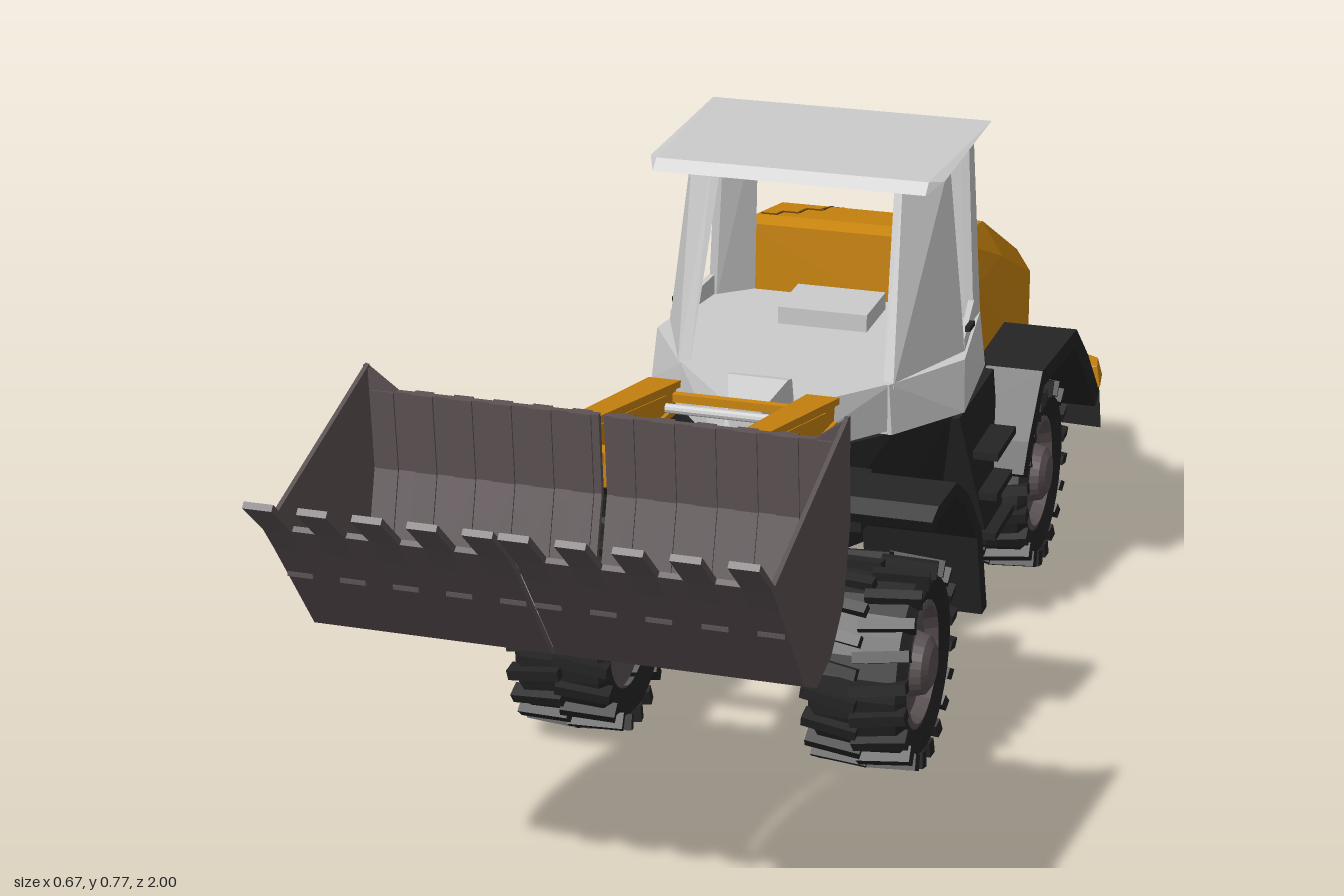
import * as THREE from 'three';
import { mergeGeometries } from 'three/addons/utils/BufferGeometryUtils.js';
import { ConvexGeometry } from 'three/addons/geometries/ConvexGeometry.js';

const mat = (color) => new THREE.MeshStandardMaterial({ color, flatShading: true, side: THREE.DoubleSide });
const yellow = mat(0xcc860f), darkYellow = mat(0x6b4508), black = mat(0x242424);
const steel = mat(0x5c5254), grey = mat(0xcccccc);

function add(parent, name, geometry, material) {
  const m = new THREE.Mesh(geometry, material);
  m.name = name;
  parent.add(m);
}

// Side profile of [z, y] points, extruded from x0 to x1
function slab(profile, x0, x1) {
  const shape = new THREE.Shape(profile.map(([z, y]) => new THREE.Vector2(z, y)));
  return new THREE.ExtrudeGeometry(shape, { depth: x1 - x0, bevelEnabled: false })
    .rotateY(-Math.PI / 2).translate(x1, 0, 0);
}

// Closed strip of thickness t on the left of an open [z, y] line
function strip(line, t) {
  const inner = line.map((p, i) => {
    const a = line[Math.max(i - 1, 0)], b = line[Math.min(i + 1, line.length - 1)];
    const dz = b[0] - a[0], dy = b[1] - a[1], l = Math.hypot(dz, dy);
    return [p[0] - (dy / l) * t, p[1] + (dz / l) * t];
  });
  return [...line, ...inner.reverse()];
}

// Moves every x by a rule of x and z
function bendX(geo, rule) {
  const p = geo.attributes.position;
  for (let i = 0; i < p.count; i++) p.setX(i, rule(p.getX(i), p.getZ(i)));
  return geo;
}

const hull = (pts) => new ConvexGeometry(pts.map((p) => new THREE.Vector3(...p)));
const flip = (s, pts) => pts.map(([x, y, z]) => [s * x, y, z]);
// Hull of points given for one side and mirrored to the other
const symHull = (pts) => hull([...pts, ...flip(-1, pts)]);
const box = (w, h, d, x, y, z) => new THREE.BoxGeometry(w, h, d).translate(x, y, z);
const span = (s, a, b) => (s > 0 ? [a, b] : [-b, -a]);

function makeWheel() {
  const wheel = new THREE.Group();
  const lathe = (pts, n) => new THREE.LatheGeometry(pts.map((p) => new THREE.Vector2(...p)), n).rotateZ(-Math.PI / 2);
  add(wheel, 'tyre', lathe([[0.09, -0.06], [0.124, -0.071], [0.139, -0.058], [0.141, 0],
    [0.139, 0.058], [0.124, 0.071], [0.09, 0.06]], 28), black);
  add(wheel, 'rim', lathe([[0, -0.045], [0.091, -0.052], [0.093, 0.062], [0.085, 0.064], [0.078, 0.045],
    [0.05, 0.042], [0.042, 0.07], [0.03, 0.078], [0, 0.078]], 24), steel);
  // Staggered slanted tread bars
  const lugs = [], n = 20;
  for (let i = 0; i < n * 2; i++) {
    const side = i % 2 ? 1 : -1;
    lugs.push(new THREE.BoxGeometry(0.08, 0.024, 0.016).rotateY(side * 0.15).rotateZ(side * -0.06)
      .translate(side * 0.035, 0.14, 0).rotateX((i * Math.PI) / n));
  }
  add(wheel, 'tread', mergeGeometries(lugs), black);
  return wheel;
}

function makeBucket() {
  const g = new THREE.Group();
  g.name = 'bucket';
  const line = [[0.612, 0.682], [0.605, 0.57], [0.635, 0.47], [0.69, 0.422], [0.755, 0.408], [0.81, 0.435], [0.945, 0.62]];
  for (const [a, b, s] of [[-0.34, -0.022, -1], [-0.015, 0.305, 1]]) {
    const w = b - a, outer = s < 0 ? a : b;
    add(g, 'bucketShell', slab(strip(line, 0.008), a, b), steel);
    add(g, 'bucketSide', slab([[0.615, 0.715], ...line.slice(1)], ...(s < 0 ? [a, a + 0.006] : [b - 0.006, b])), steel);
    add(g, 'cornerGusset', hull([[outer, 0.715, 0.612], [outer, 0.67, 0.608], [outer - s * 0.045, 0.68, 0.61],
      [outer, 0.715, 0.622], [outer, 0.67, 0.62], [outer - s * 0.045, 0.68, 0.62]]), steel);
    for (let i = 0; i < 5; i++) {
      const c = a + 0.019 + (i / 4) * (w - 0.038);
      add(g, 'tooth', slab(strip([[0.915, 0.579], [0.945, 0.618], [1, 0.668]], 0.009), c - 0.019, c + 0.019), steel);
      add(g, 'wearPad', box(0.034, 0.006, 0.012, c, 0.535, 0.881), steel);
    }
    // Stiffening ribs inside and outside the back wall
    for (let i = 0; i < 6; i++) {
      const c = a + 0.025 + (i / 5) * (w - 0.05);
      add(g, 'innerRib', slab(strip(line.slice(0, 5), 0.011), c - 0.015, c + 0.015), steel);
      add(g, 'backRib', slab(strip(line.slice(0, 4), -0.004), c - 0.013, c + 0.013), steel);
    }
  }
  return g;
}

function makeArms() {
  const g = new THREE.Group();
  g.name = 'loaderArms';
  const arm = [[0.67, 0.37], [0.66, 0.43], [0.485, 0.605], [0.44, 0.598], [0.07, 0.52], [0.08, 0.477], [0.46, 0.495]];
  const panel = [[0.42, 0.58], [0.12, 0.515], [0.12, 0.492], [0.44, 0.512]];
  for (const s of [-1, 1]) {
    // Each arm leans inward and gets thinner towards the bucket
    const taper = (geo) => bendX(geo, (x, z) => {
      const k = (z - 0.07) / 0.6;
      return s * (0.117 - 0.005 * k) + x * (1 - 0.5 * k);
    });
    add(g, 'arm', taper(slab(arm, -0.018, 0.018)), yellow);
    add(g, 'armFlange', taper(slab(strip(arm.slice(1, 5), 0.01), -0.024, 0.024)), yellow);
    add(g, 'armFlange', taper(slab(strip([arm[5], arm[6], arm[0]], 0.01), -0.024, 0.024)), yellow);
    add(g, 'armPanel', taper(slab(panel, -0.02, 0.02)), yellow);
    add(g, 'crossBeamEnd', hull([[s * 0.07, 0.52, 0.445], [s * 0.07, 0.565, 0.47], [s * 0.07, 0.52, 0.47],
      [s * 0.11, 0.505, 0.43], [s * 0.11, 0.59, 0.485], [s * 0.11, 0.505, 0.485], [s * 0.11, 0.59, 0.43]]), yellow);
  }
  add(g, 'crossBeam', box(0.2, 0.05, 0.025, 0, 0.542, 0.457), yellow);
  add(g, 'rearPivot', box(0.22, 0.012, 0.012, 0, 0.5, 0.085), yellow);
  add(g, 'tiltRod', new THREE.CylinderGeometry(0.007, 0.007, 0.2, 10).rotateZ(Math.PI / 2).translate(0, 0.498, 0.125), grey);
  return g;
}

function makeCab() {
  const g = new THREE.Group();
  g.name = 'cab';
  add(g, 'nose', symHull([[0.02, 0.4, 0.065], [0.025, 0.485, 0.065], [0.045, 0.51, 0], [0.05, 0.4, -0.03], [0.045, 0.505, -0.02]]), grey);
  add(g, 'cowl', symHull([[0.045, 0.4, 0.03], [0.045, 0.47, 0.01], [0.165, 0.468, -0.14], [0.165, 0.395, -0.14]]), grey);
  add(g, 'cabBase', symHull([[0.165, 0.39, -0.13], [0.16, 0.468, -0.13], [0.245, 0.39, -0.25], [0.24, 0.468, -0.265],
    [0.22, 0.378, -0.485], [0.212, 0.468, -0.477]]), grey);
  // Roof with cut front corners and a shallow underside
  add(g, 'roof', symHull([[0.205, 0.755, -0.147], [0.205, 0.77, -0.165], [0.222, 0.765, -0.19], [0.22, 0.77, -0.487],
    [0.195, 0.75, -0.468], [0.19, 0.75, -0.23]]), grey);
  for (const s of [-1, 1]) {
    add(g, 'frontPillar', hull(flip(s, [[0.232, 0.46, -0.3], [0.215, 0.46, -0.3], [0.165, 0.46, -0.135], [0.148, 0.46, -0.14],
      [0.198, 0.755, -0.318], [0.185, 0.755, -0.318], [0.145, 0.755, -0.25], [0.132, 0.755, -0.255]])), grey);
    add(g, 'rearPillar', hull(flip(s, [[0.212, 0.46, -0.435], [0.212, 0.46, -0.478], [0.15, 0.46, -0.478], [0.2, 0.46, -0.435],
      [0.198, 0.755, -0.435], [0.198, 0.755, -0.465], [0.14, 0.755, -0.465], [0.185, 0.755, -0.435]])), grey);
    add(g, 'doorSill', hull(flip(s, [[0.232, 0.46, -0.3], [0.212, 0.46, -0.44], [0.222, 0.46, -0.3], [0.202, 0.46, -0.44],
      [0.23, 0.485, -0.3], [0.211, 0.5, -0.44], [0.222, 0.485, -0.3], [0.202, 0.5, -0.44]])), grey);
    add(g, 'doorHandle', box(0.008, 0.008, 0.03, s * 0.23, 0.495, -0.335), black);
  }
  add(g, 'seat', box(0.14, 0.03, 0.11, 0, 0.48, -0.39), grey);
  return g;
}

function makeRear() {
  const g = new THREE.Group();
  g.name = 'engineHood';
  add(g, 'hood', symHull([[0.2, 0.37, -0.505], [0.2, 0.5, -0.505], [0.175, 0.565, -0.505], [0.165, 0.57, -0.54],
    [0.165, 0.545, -0.68], [0.198, 0.49, -0.68], [0.165, 0.415, -0.935], [0.183, 0.37, -0.96], [0.18, 0.24, -0.972],
    [0.2, 0.37, -0.7], [0.195, 0.24, -0.86]]), yellow);
  const hoodY = (z) => (z > -0.68 ? 0.57 + ((z + 0.54) * 0.025) / 0.14 : 0.545 + ((z + 0.68) * 0.13) / 0.255);
  // Slots across the sloping lid
  for (const z of [-0.92, -0.88, -0.84, -0.8]) {
    add(g, 'louver', new THREE.BoxGeometry(0.3, 0.005, 0.014).rotateX(-0.47).translate(0, hoodY(z), z), darkYellow);
    add(g, 'louverLip', new THREE.BoxGeometry(0.3, 0.01, 0.01).rotateX(-0.47).translate(0, hoodY(z + 0.014), z + 0.014), yellow);
  }
  // Stepped seam of the service panel
  add(g, 'panelSeam', box(0.13, 0.003, 0.004, 0, hoodY(-0.775), -0.775), darkYellow);
  for (const s of [-1, 1]) {
    [[0.065, -0.775, -0.69], [0.085, -0.69, -0.63], [0.11, -0.63, -0.58], [0.135, -0.58, -0.545]].forEach(([x, z0, z1]) => {
      const zc = (z0 + z1) / 2, slope = Math.atan2(hoodY(z1) - hoodY(z0), z1 - z0);
      add(g, 'panelSeam', new THREE.BoxGeometry(0.004, 0.003, z1 - z0).rotateX(-slope).translate(s * x, hoodY(zc), zc), darkYellow);
      add(g, 'panelSeam', box(0.025, 0.003, 0.004, s * (x + 0.0125), hoodY(z1), z1), darkYellow);
    });
    add(g, 'rearGrille', box(0.12, 0.045, 0.006, s * 0.075, 0.32, -0.967), darkYellow);
    add(g, 'grilleBar', box(0.07, 0.02, 0.012, s * 0.05, 0.31, -0.967), yellow);
    // Low ledge over the bumper corner
    add(g, 'rearWing', hull(flip(s, [[0.17, 0.23, -0.83], [0.17, 0.275, -0.85], [0.324, 0.22, -0.85], [0.318, 0.255, -0.85],
      [0.315, 0.22, -0.91], [0.308, 0.25, -0.905], [0.17, 0.23, -0.97], [0.17, 0.26, -0.965], [0.25, 0.23, -0.94]]))
      .translate(0.006, 0, 0), yellow);
    add(g, 'bumperBlock', box(0.145, 0.095, 0.1, s * 0.1, 0.197, -0.95), black);
    add(g, 'bumperWing', hull(flip(s, [[0.17, 0.145, -0.87], [0.17, 0.24, -0.87], [0.326, 0.145, -0.86], [0.32, 0.225, -0.86],
      [0.312, 0.145, -0.915], [0.306, 0.225, -0.915], [0.17, 0.145, -0.97], [0.17, 0.24, -0.97]]))
      .translate(0.006, 0, 0), black);
  }
  add(g, 'bumperCentre', box(0.08, 0.05, 0.09, 0, 0.22, -0.945), black);
  return g;
}

function makeChassis() {
  const g = new THREE.Group();
  g.name = 'chassis';
  add(g, 'rearFrame', box(0.27, 0.165, 0.48, 0, 0.293, -0.68), black);
  add(g, 'middleFrame', symHull([[0.06, 0.22, 0], [0.06, 0.395, 0], [0.165, 0.39, -0.14], [0.15, 0.22, -0.16],
    [0.225, 0.385, -0.26], [0.2, 0.22, -0.28], [0.22, 0.377, -0.5], [0.18, 0.22, -0.46]]), black);
  add(g, 'frontFrame', symHull([[0.065, 0.21, 0.08], [0.035, 0.395, 0.06], [0.065, 0.21, -0.1], [0.05, 0.4, -0.1]]), black);
  for (const s of [-1, 1]) {
    add(g, 'frontCheek', slab([[0.09, 0.22], [0.05, 0.405], [-0.01, 0.405], [-0.04, 0.22]], ...span(s, 0.045, 0.065)), black);
    add(g, 'fenderBracket', box(0.11, 0.075, 0.06, s * 0.11, 0.34, 0.005), black);
    // Fenders: the front pair widens to the back, the rear pair to the rear
    const front = slab(strip([[0.165, 0.388], [0.14, 0.403], [0.07, 0.412], [0.02, 0.375], [-0.035, 0.3],
      [-0.065, 0.165]], 0.02), ...span(s, 0, 1));
    add(g, 'frontFender', bendX(front, (x, z) => 0.005 + s * 0.148 + x * (0.168 - z * 0.12)), black);
    const rear = slab(strip([[-0.405, 0.235], [-0.43, 0.28], [-0.5, 0.372], [-0.7, 0.372], [-0.78, 0.3],
      [-0.86, 0.21]], 0.03), ...span(s, 0, 1));
    add(g, 'rearFender', bendX(rear, (x, z) => 0.007 + s * 0.13 + x * (0.145 - z * 0.052)), black);
    // Access steps below the door
    add(g, 'stepHousing', hull(flip(s, [[0.16, 0.15, -0.31], [0.16, 0.15, -0.43], [0.27, 0.15, -0.32], [0.27, 0.15, -0.42],
      [0.16, 0.375, -0.25], [0.16, 0.375, -0.48], [0.235, 0.375, -0.26], [0.235, 0.375, -0.48]])), black);
    for (const y of [0.17, 0.235, 0.3]) add(g, 'step', box(0.05, 0.012, 0.12, s * 0.26, y, -0.365), black);
  }
  for (const z of [0.135, -0.61]) {
    add(g, 'axle', new THREE.CylinderGeometry(0.016, 0.016, 0.36, 12).rotateZ(Math.PI / 2).translate(0, 0.157, z), grey);
    for (const s of [-1, 1]) {
      const wheel = makeWheel();
      wheel.name = z > 0 ? 'frontWheel' : 'rearWheel';
      wheel.position.set(0.005 + s * 0.217, 0.156, z);
      if (s < 0) wheel.rotation.y = Math.PI;
      g.add(wheel);
    }
  }
  return g;
}

export function createModel() {
  const model = new THREE.Group();
  model.name = 'wheelLoader';
  model.add(makeBucket(), makeArms(), makeCab(), makeRear(), makeChassis());
  return model;
}
